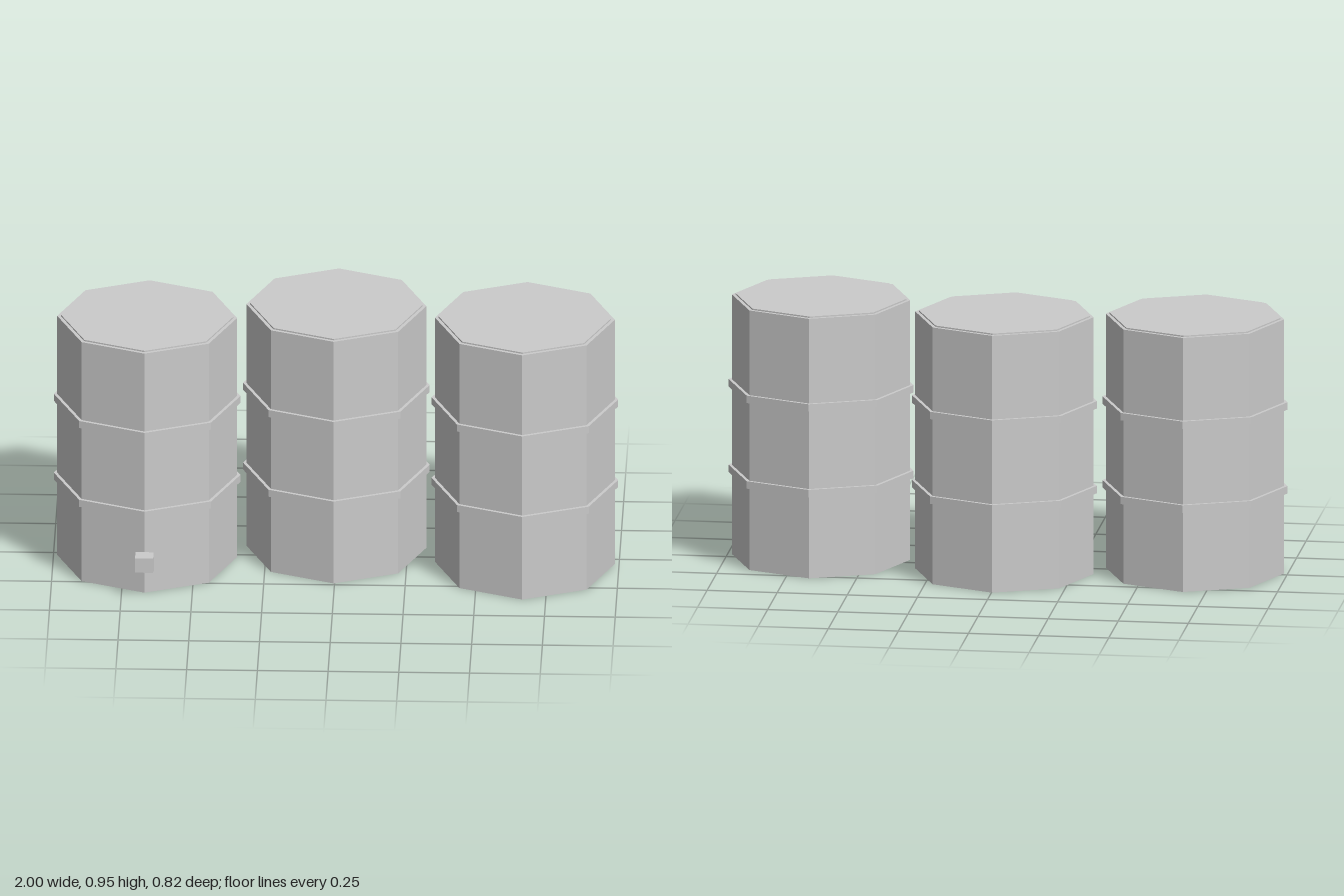
import * as THREE from 'three';

const SIDES = 8;
const BODY_R = 0.318, BAND_R = 0.33, LID_R = 0.305;
const BAND_H = 0.027, LIP = 0.005;

const material = new THREE.MeshStandardMaterial({
  color: 0xcccccc, flatShading: true, side: THREE.DoubleSide,
});

function addMesh(parent, name, geometry, x, y, z) {
  const mesh = new THREE.Mesh(geometry, material);
  mesh.name = name;
  mesh.position.set(x, y, z);
  parent.add(mesh);
  return mesh;
}

// One drum: shell open at the bottom, two solid hoops, slightly inset lid
function makeBarrel(height) {
  const barrel = new THREE.Group();
  const top = height - LIP;

  const profile = [[BODY_R, 0], [BODY_R, top], [LID_R, top]]
    .map(([r, y]) => new THREE.Vector2(r, y));
  addMesh(barrel, 'shell', new THREE.LatheGeometry(profile, SIDES), 0, 0, 0);

  addMesh(barrel, 'lid', new THREE.CylinderGeometry(LID_R, LID_R, LIP, SIDES),
    0, height - LIP / 2, 0);

  for (const [name, t] of [['lowerHoop', 0.328], ['upperHoop', 0.656]]) {
    addMesh(barrel, name, new THREE.CylinderGeometry(BAND_R, BAND_R, BAND_H, SIDES),
      0, height * t, 0);
  }
  return barrel;
}

export function createModel() {
  const model = new THREE.Group();
  model.name = 'barrelRow';

  // Three drums in a staggered row: name, x, z, height
  const row = [
    ['rightBarrel', -0.669, 0.02, 0.93],
    ['middleBarrel', -0.003, -0.08, 0.94],
    ['leftBarrel', 0.667, 0.04, 0.95],
  ];
  for (const [name, x, z, height] of row) {
    const barrel = makeBarrel(height);
    barrel.name = name;
    barrel.position.set(x, 0, z);
    model.add(barrel);
  }

  // Small square tap in front of the right barrel
  addMesh(model, 'tap', new THREE.BoxGeometry(0.064, 0.055, 0.055), -0.668, 0.137, 0.383);

  return model;
}
